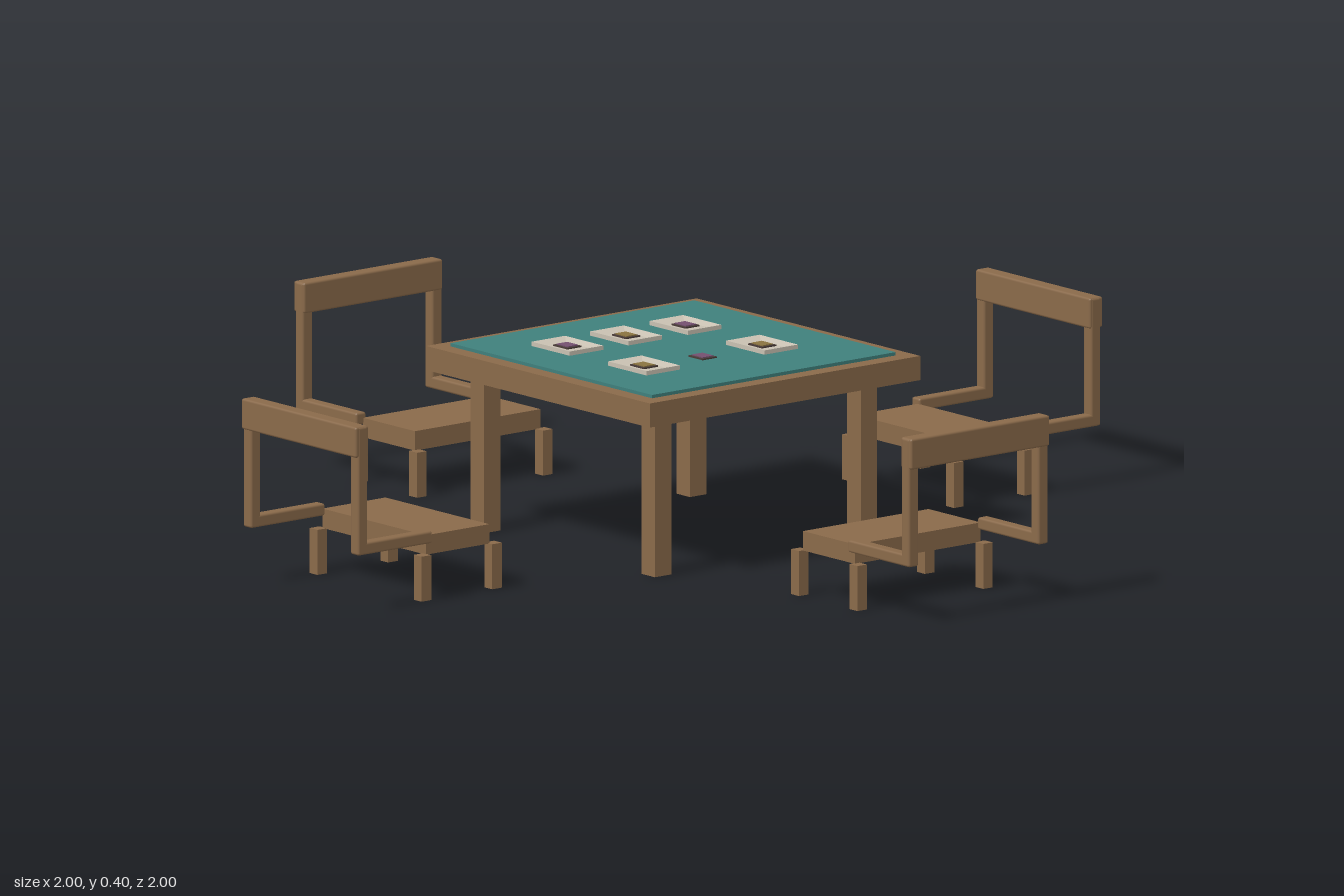
import * as THREE from 'three';
import { RoundedBoxGeometry } from 'three/addons/geometries/RoundedBoxGeometry.js';

const mat = (name, color) => {
  const m = new THREE.MeshStandardMaterial({ color });
  m.name = name;
  return m;
};

export function createModel() {
  const wood = mat('brown wood', 0x8a6a4a);
  const teal = mat('teal cloth', 0x3f807c);
  const ivory = mat('ivory', 0xc9c1b2);
  const purple = mat('purple', 0x74506f);
  const gold = mat('dull gold', 0x8a7340);
  const dark = mat('dark rim', 0x4a3c38);

  const model = new THREE.Group();
  model.name = 'tableAndChairs';

  // Box given by its [min, max] range on each axis; a radius softens the edges
  const box = (parent, name, material, x, y, z, radius = 0) => {
    const size = [x, y, z].map(([a, b]) => b - a);
    const geo = radius ? new RoundedBoxGeometry(...size, 1, radius) : new THREE.BoxGeometry(...size);
    const mesh = new THREE.Mesh(geo, material);
    mesh.name = name;
    mesh.position.set((x[0] + x[1]) / 2, (y[0] + y[1]) / 2, (z[0] + z[1]) / 2);
    parent.add(mesh);
    return mesh;
  };

  // Table
  const table = new THREE.Group();
  table.name = 'table';
  model.add(table);
  box(table, 'tableTop', wood, [-0.362, 0.362], [0.335, 0.386], [-0.362, 0.362]);
  box(table, 'tableCloth', teal, [-0.326, 0.326], [0.384, 0.393], [-0.326, 0.326]);
  for (const x of [-0.276, 0.275])
    for (const z of [-0.274, 0.279])
      box(table, 'tableLeg', wood, [x - 0.022, x + 0.022], [0, 0.336], [z - 0.022, z + 0.022]);

  // Shallow square dish: four sloping walls and a flat floor
  const dishGeometry = (() => {
    const ring = (w, d, y) => [[-w, y, -d], [-w, y, d], [w, y, d], [w, y, -d]];
    const rings = [ring(0.045, 0.062, 0), ring(0.045, 0.062, 0.009), ring(0.026, 0.036, 0.003)];
    const p = [];
    const quad = (a, b, c, d) => p.push(...a, ...b, ...c, ...a, ...c, ...d);
    for (let r = 0; r < 2; r++)
      for (let i = 0; i < 4; i++) {
        const j = (i + 1) % 4;
        quad(rings[r][i], rings[r][j], rings[r + 1][j], rings[r + 1][i]);
      }
    quad(...rings[2]);
    const g = new THREE.BufferGeometry();
    g.setAttribute('position', new THREE.Float32BufferAttribute(p, 3));
    g.computeVertexNormals();
    return g;
  })();

  // Table settings: dishes with coloured tiles, and one tile lying alone
  const settings = [
    [-0.17, -0.137, purple, true], [-0.013, -0.137, gold, true], [0.146, -0.137, purple, true],
    [-0.17, 0.111, gold, true], [-0.013, 0.111, purple, false], [0.146, 0.111, gold, true],
  ];
  for (const [x, z, colour, hasDish] of settings) {
    const setting = new THREE.Group();
    setting.name = 'setting';
    setting.position.set(x, 0.393, z);
    table.add(setting);
    if (hasDish) {
      const dish = new THREE.Mesh(dishGeometry, ivory);
      dish.name = 'dish';
      setting.add(dish);
    }
    const y = hasDish ? 0.003 : 0;
    box(setting, 'tileRim', dark, [-0.019, 0.019], [y, y + 0.003], [-0.023, 0.023]);
    box(setting, 'tileFace', colour, [-0.014, 0.014], [y, y + 0.005], [-0.018, 0.018]);
  }

  // Low chairs, one on each side, facing the table
  for (let i = 0; i < 4; i++) {
    const chair = new THREE.Group();
    chair.name = 'chair';
    chair.rotation.y = i * Math.PI / 2;
    if (i % 2) chair.position.z = -0.004;
    else chair.position.x = -0.004;
    model.add(chair);

    box(chair, 'seat', wood, [-0.168, 0.168], [0.094, 0.135], [0.628, 0.797]);
    box(chair, 'backBoard', wood, [-0.186, 0.186], [0.328, 0.393], [0.965, 1], 0.005);
    for (const s of [-1, 1]) {
      const across = (a, b) => (s > 0 ? [a, b] : [-b, -a]);
      box(chair, 'frontLeg', wood, across(0.156, 0.181), [0, 0.095], [0.605, 0.631]);
      box(chair, 'backLeg', wood, across(0.156, 0.181), [0, 0.095], [0.794, 0.82]);
      box(chair, 'sideRail', wood, across(0.16, 0.187), [0.121, 0.147], [0.795, 0.991], 0.005);
      box(chair, 'backPost', wood, across(0.16, 0.187), [0.121, 0.392], [0.968, 0.994], 0.005);
    }
  }
  return model;
}
